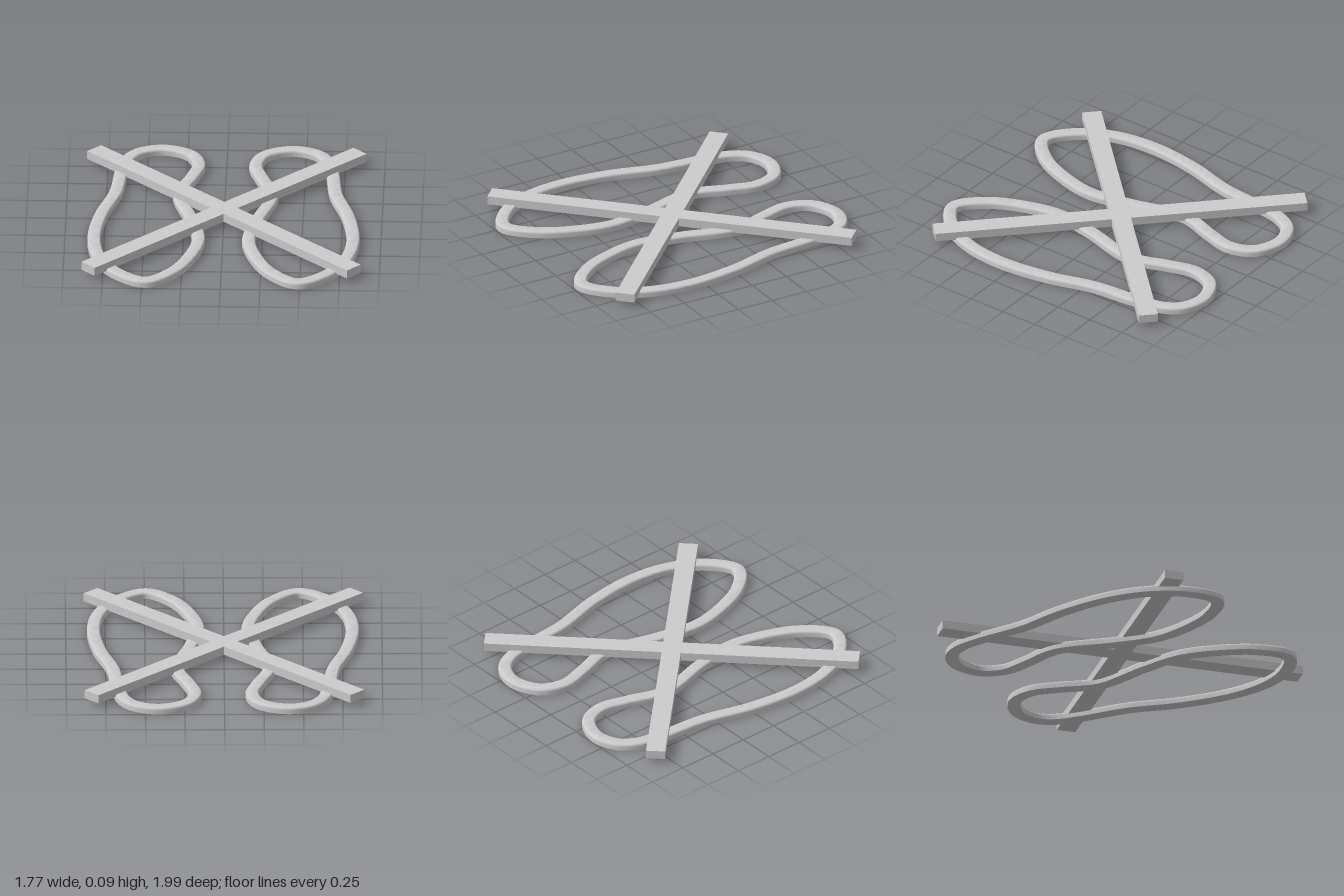
import * as THREE from 'three';
import { toCreasedNormals } from 'three/addons/utils/BufferGeometryUtils.js';

const material = new THREE.MeshStandardMaterial({ color: 0xcccccc });

// Centreline of the +x sole outline as (x, z), clockwise seen from above
const OUTLINE = [
  [0.412, -0.956], [0.56, -0.909], [0.634, -0.808], [0.671, -0.634], [0.703, -0.317], [0.787, 0],
  [0.824, 0.343], [0.782, 0.618], [0.666, 0.829], [0.486, 0.948], [0.317, 0.808], [0.206, 0.565],
  [0.164, 0.343], [0.211, 0.063], [0.298, -0.301], [0.225, -0.555], [0.185, -0.729], [0.243, -0.882],
];

// Band section as (outward, y): flat underside, rounded top edges
function bandSection(half, height, radius, steps) {
  const section = [[half, 0]];
  for (const side of [1, -1]) {
    for (let k = 0; k <= steps; k++) {
      const a = (side > 0 ? k / steps : 1 - k / steps) * Math.PI / 2;
      section.push([side * (half - radius + radius * Math.cos(a)), height - radius + radius * Math.sin(a)]);
    }
  }
  section.push([-half, 0]);
  return section;
}

// Sweep the band section around a closed flat path
function sweepLoop(points, section, count = 180) {
  const curve = new THREE.CatmullRomCurve3(points.map(([x, z]) => new THREE.Vector3(x, 0, z)), true, 'centripetal');
  const positions = [], index = [], n = section.length;
  for (let i = 0; i < count; i++) {
    const p = curve.getPointAt(i / count), t = curve.getTangentAt(i / count);
    for (const [s, y] of section) positions.push(p.x + t.z * s, y, p.z - t.x * s);
    const next = (i + 1) % count;
    for (let j = 0; j < n; j++) {
      const k = (j + 1) % n;
      const a = i * n + j, b = i * n + k, c = next * n + k, d = next * n + j;
      index.push(a, b, c, a, c, d);
    }
  }
  const geometry = new THREE.BufferGeometry();
  geometry.setAttribute('position', new THREE.Float32BufferAttribute(positions, 3));
  geometry.setIndex(index);
  return toCreasedNormals(geometry, 0.7);
}

export function createModel() {
  const group = new THREE.Group();
  const add = (name, geometry) => {
    const mesh = new THREE.Mesh(geometry, material);
    mesh.name = name;
    group.add(mesh);
    return mesh;
  };

  // Pair of shoe-sole outlines; the mirrored one is reversed to keep its faces outward
  const section = bandSection(0.042, 0.043, 0.014, 4);
  const mirrored = OUTLINE.map(([x, z]) => [0.01 - x, z]).reverse();
  add('leftSoleOutline', sweepLoop(OUTLINE, section));
  add('rightSoleOutline', sweepLoop(mirrored, section));

  // Crossed bars lying over both outlines
  for (const [name, turn] of [['crossBarA', 1], ['crossBarB', -1]]) {
    const bar = add(name, new THREE.BoxGeometry(2.378, 0.056, 0.122));
    bar.position.y = 0.057;
    bar.rotation.y = turn * Math.PI / 4;
  }
  return group;
}
